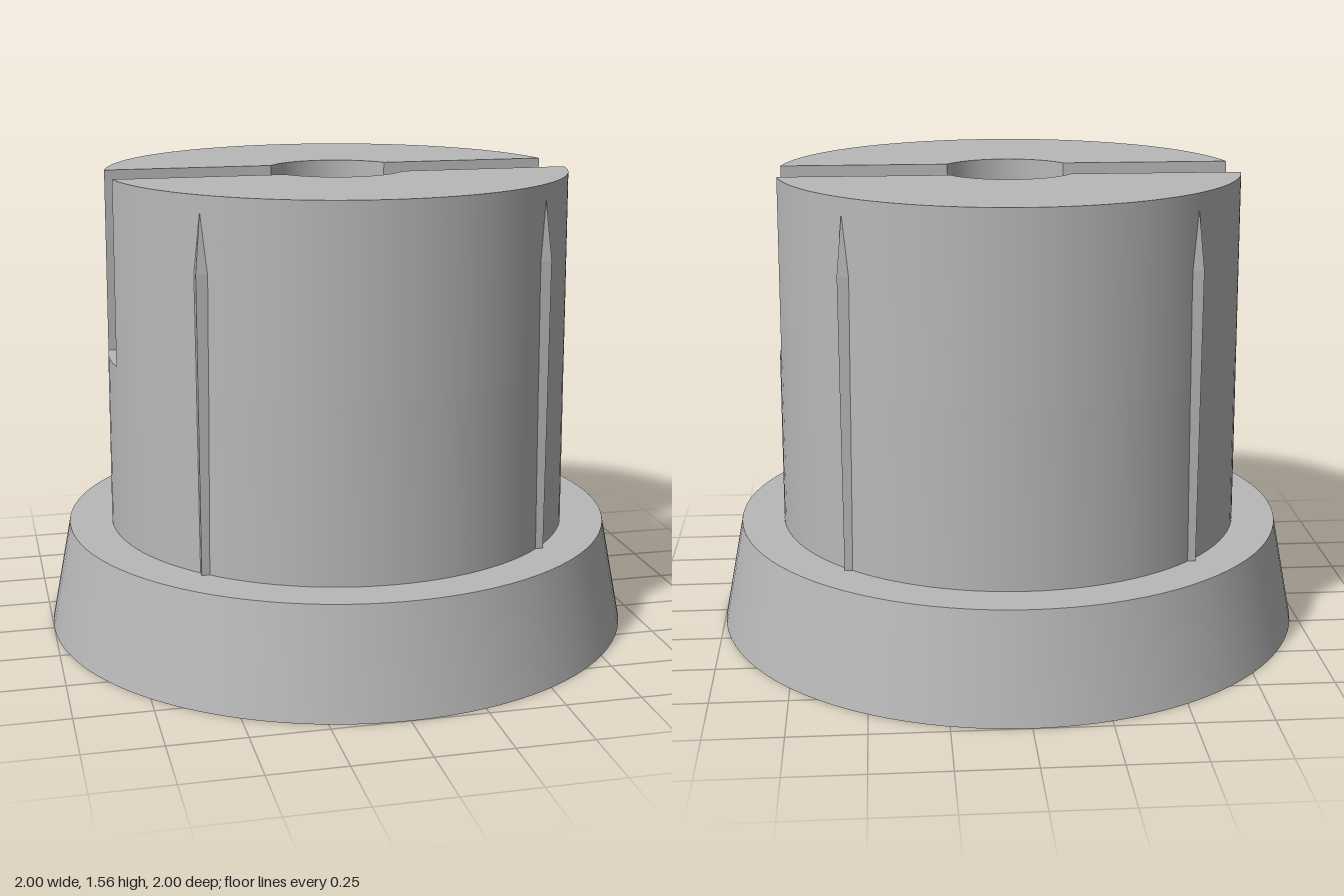
import * as THREE from 'three';
import { toCreasedNormals } from 'three/addons/utils/BufferGeometryUtils.js';

const FLOOR = 0.945, TOP = 1.56;      // slot floor and top of the body
const R_FLOOR = 0.78, R_TOP = 0.775;  // body radius at those heights
const HALF_SLOT = 0.125, HOLE = 0.235, BORE = 0.345;

// Half disc beside the slot, with its share of the central hole
function halfDisc() {
  const a = Math.asin(HALF_SLOT / R_FLOOR), b = Math.asin(HALF_SLOT / HOLE);
  const shape = new THREE.Shape();
  shape.absarc(0, 0, R_FLOOR, a, Math.PI - a, false);
  shape.absarc(0, 0, HOLE, Math.PI - b, b, true);
  shape.closePath();
  const geo = new THREE.ExtrudeGeometry(shape, { depth: TOP - FLOOR, bevelEnabled: false, curveSegments: 64 });
  geo.rotateX(-Math.PI / 2).translate(0, FLOOR, 0);
  // Draw the top of the outer wall in slightly
  const p = geo.attributes.position;
  for (let i = 0; i < p.count; i++) {
    const x = p.getX(i), z = p.getZ(i);
    if (p.getY(i) > TOP - 0.01 && Math.hypot(x, z) > 0.7) {
      const zNew = Math.abs(z) < HALF_SLOT + 0.001 ? z : z * R_TOP / R_FLOOR;
      p.setXYZ(i, x * R_TOP / R_FLOOR, TOP, zNew);
    }
  }
  return toCreasedNormals(geo, 0.4);
}

export function createModel() {
  const group = new THREE.Group();
  const grey = new THREE.MeshStandardMaterial({ color: 0xb8b8b8 });
  grey.name = 'grey';
  const add = (name, geo, parent = group) => {
    const mesh = new THREE.Mesh(geo, grey);
    mesh.name = name;
    parent.add(mesh);
    return mesh;
  };

  // Flared foot and lower body, with the chamfered bore through them
  const profile = [
    [BORE, FLOOR], [BORE, 0.19], [0.44, 0], [1, 0], [0.93, 0.36],
    [0.785, 0.36], [R_FLOOR, FLOOR], [BORE, FLOOR],
  ].map(([x, y]) => new THREE.Vector2(x, y));
  add('footAndLowerBody', toCreasedNormals(new THREE.LatheGeometry(profile, 96), 0.4));

  // Two halves of the slotted upper body
  const half = halfDisc();
  add('backHalf', half);
  add('frontHalf', half).rotation.y = Math.PI;

  // Four thin upright ribs with pointed tops
  const ribR = 0.0255;
  const shaft = new THREE.CylinderGeometry(ribR, ribR, 0.96, 4, 1, true).translate(0, 0.84, 0);
  const point = new THREE.ConeGeometry(ribR, 0.19, 4, 1, true).translate(0, 1.415, 0);
  const shaftGeo = toCreasedNormals(shaft, 0.4), pointGeo = toCreasedNormals(point, 0.4);
  for (let i = 0; i < 4; i++) {
    const rib = new THREE.Group();
    rib.name = 'rib' + (i + 1);
    const angle = Math.PI / 4 + i * Math.PI / 2;
    rib.position.set(Math.sin(angle) * 0.777, 0, Math.cos(angle) * 0.777);
    rib.rotation.y = angle;
    add('ribShaft', shaftGeo, rib);
    add('ribPoint', pointGeo, rib);
    group.add(rib);
  }
  return group;
}
